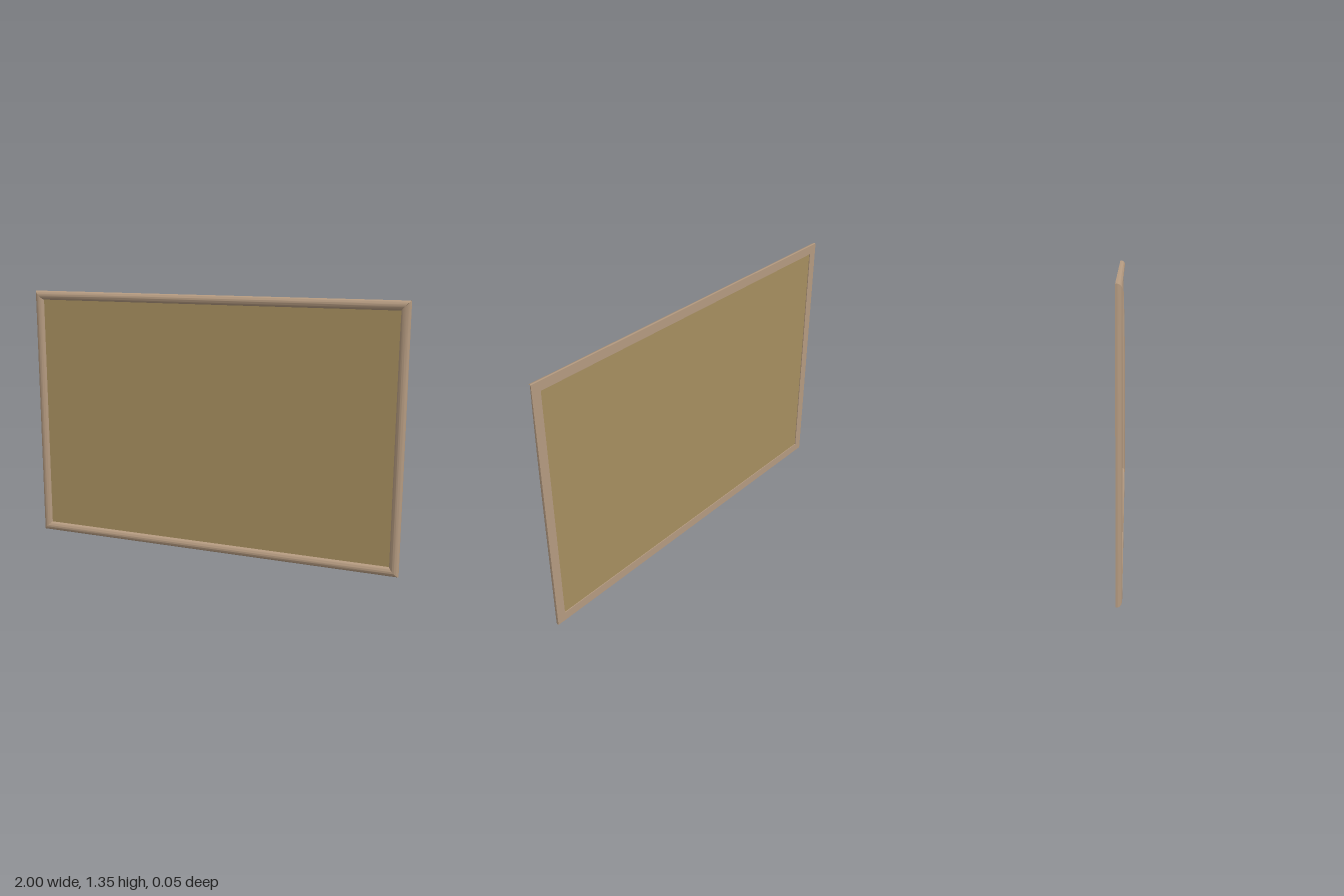
import * as THREE from 'three';
import { toCreasedNormals } from 'three/addons/utils/BufferGeometryUtils.js';

const WIDTH = 2, HEIGHT = 1.345, BAR = 0.047, DEPTH = 0.028, WALL = 0.007;

// D-shaped moulding section: x runs from outer to inner edge, y from back to front
function mouldingShape() {
  const shape = new THREE.Shape();
  shape.moveTo(0, 0);
  shape.lineTo(BAR, 0);
  shape.lineTo(BAR, WALL);
  shape.absellipse(BAR / 2, WALL, BAR / 2, DEPTH - WALL, 0, Math.PI, false);
  shape.closePath();
  return shape;
}

// Mitred bar between two outer corners, listed anticlockwise seen from the front
function mouldingBar(start, end, depthAt) {
  const dir = end.clone().sub(start);
  const length = dir.length();
  dir.normalize();
  const inward = new THREE.Vector2(-dir.y, dir.x);
  const geo = new THREE.ExtrudeGeometry(mouldingShape(), {
    depth: 1, steps: 16, curveSegments: 16, bevelEnabled: false,
  });
  const pos = geo.attributes.position;
  for (let i = 0; i < pos.count; i++) {
    const u = pos.getX(i), d = pos.getY(i), t = pos.getZ(i);
    const along = u + t * (length - 2 * u);
    pos.setXYZ(i,
      start.x + dir.x * along + inward.x * u,
      start.y + dir.y * along + inward.y * u,
      d * depthAt(t));
  }
  geo.computeVertexNormals();
  return toCreasedNormals(geo, 0.6);
}

export function createModel() {
  const model = new THREE.Group();
  model.name = 'framedBoard';

  const wood = new THREE.MeshStandardMaterial({ color: 0xb49a80 });
  wood.name = 'paleWood';
  const cork = new THREE.MeshStandardMaterial({ color: 0xa68f5f });
  cork.name = 'cork';

  // The whole board is turned very slightly about the vertical
  const tilted = new THREE.Group();
  tilted.name = 'tiltedBoard';
  tilted.rotation.y = -0.0125;
  tilted.position.z = -0.0145;
  model.add(tilted);

  // Frame: four mitred bars; the left one flattens towards its upper end
  const corners = [[-1, 0], [1, 0], [1, 1], [-1, 1]]
    .map(([x, y]) => new THREE.Vector2(x * WIDTH / 2, y * HEIGHT));
  const names = ['bottomBar', 'leftBar', 'topBar', 'rightBar'];
  const full = () => 1;
  const flattening = (t) => 1 - 0.5 * Math.max(0, (t - 0.55) / 0.45) ** 2;
  names.forEach((name, i) => {
    const geo = mouldingBar(corners[i], corners[(i + 1) % 4],
      name === 'leftBar' ? flattening : full);
    const bar = new THREE.Mesh(geo, wood);
    bar.name = name;
    tilted.add(bar);
  });

  // Cork panel, recessed on both faces
  const panel = new THREE.Mesh(
    new THREE.BoxGeometry(WIDTH - 2 * BAR + 0.004, HEIGHT - 2 * BAR + 0.004, 0.004), cork);
  panel.name = 'corkPanel';
  panel.position.set(0, HEIGHT / 2, 0.0065);
  tilted.add(panel);

  return model;
}
